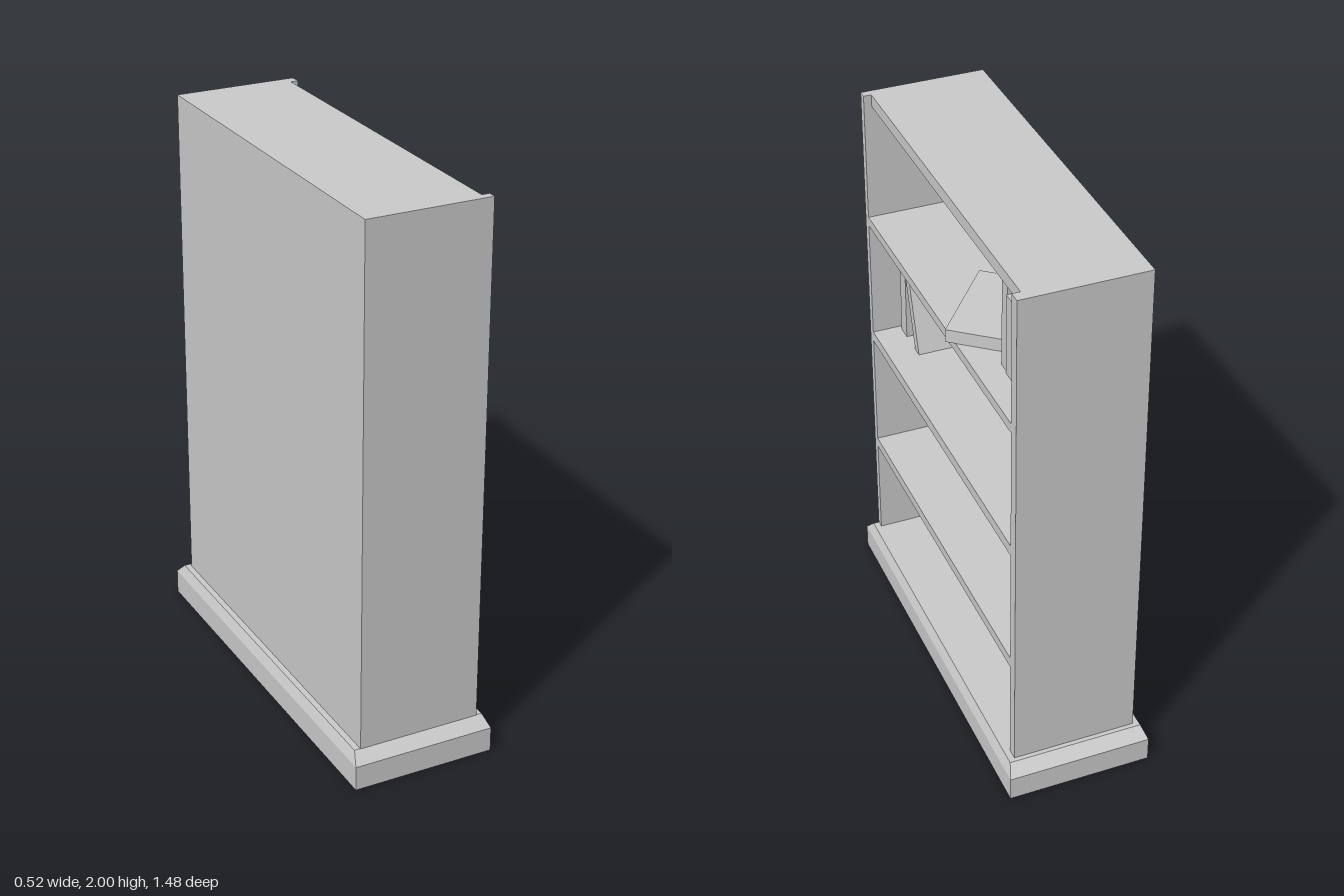
import * as THREE from 'three';

const grey = new THREE.MeshStandardMaterial({ color: 0xcccccc, flatShading: true });
const greyDouble = new THREE.MeshStandardMaterial({ color: 0xcccccc, flatShading: true, side: THREE.DoubleSide });

// Box given by its lower and upper limits on each axis
function block(name, [x0, x1], [y0, y1], [z0, z1]) {
  const mesh = new THREE.Mesh(new THREE.BoxGeometry(x1 - x0, y1 - y0, z1 - z0), grey);
  mesh.position.set((x0 + x1) / 2, (y0 + y1) / 2, (z0 + z1) / 2);
  mesh.name = name;
  return mesh;
}

// Hollow plinth, open underneath: rectangles stacked upwards, closed by a top
function plinthGeometry(rings) {
  const loops = rings.map(([x, y, z]) => [[x, y, z], [x, y, -z], [-x, y, -z], [-x, y, z]]);
  const pos = [];
  const quad = (a, b, c, d) => pos.push(...a, ...b, ...c, ...a, ...c, ...d);
  for (let r = 0; r + 1 < loops.length; r++) {
    for (let i = 0; i < 4; i++) {
      const j = (i + 1) % 4;
      quad(loops[r][i], loops[r][j], loops[r + 1][j], loops[r + 1][i]);
    }
  }
  quad(...loops[loops.length - 1]);
  const geo = new THREE.BufferGeometry();
  geo.setAttribute('position', new THREE.Float32BufferAttribute(pos, 3));
  geo.computeVertexNormals();
  return geo;
}

// Book standing on a shelf; the quad in (z, y) allows for leaning
function standingBook(name, corners, x0, x1) {
  // drawn in (-z, y) so that the extrusion runs along x after turning
  const shape = new THREE.Shape(corners.map(([z, y]) => new THREE.Vector2(-z, y)));
  const geo = new THREE.ExtrudeGeometry(shape, { depth: x1 - x0, bevelEnabled: false });
  geo.rotateY(Math.PI / 2).translate(x0, 0, 0);
  const mesh = new THREE.Mesh(geo, grey);
  mesh.name = name;
  return mesh;
}

export function createModel() {
  const model = new THREE.Group();
  model.name = 'bookcase';

  // Plinth with a sloped upper edge
  const plinth = new THREE.Mesh(
    plinthGeometry([[0.26, 0, 0.74], [0.26, 0.09, 0.74], [0.245, 0.13, 0.7]]), greyDouble);
  plinth.name = 'plinth';
  model.add(plinth);

  // Carcass, open towards +x
  const back = -0.223, front = 0.223, inner = -0.185;
  const zIn = [-0.643, 0.672];
  model.add(
    block('leftSide', [back, front], [0.13, 2], [zIn[1], 0.702]),
    block('rightSide', [back, front], [0.13, 2], [-0.684, zIn[0]]),
    block('backPanel', [back, inner], [0.13, 2], zIn),
    block('topBoard', [inner, 0.195], [1.955, 2], zIn),
  );
  for (const [y0, y1] of [[0.518, 0.557], [1.0, 1.04], [1.49, 1.525]]) {
    model.add(block('shelf', [inner, front], [y0, y1], zIn));
  }

  // Books on the top shelf
  const books = new THREE.Group();
  books.name = 'books';
  books.add(
    standingBook('thinBook', [[-0.335, 1.525], [-0.385, 1.525], [-0.385, 1.873], [-0.341, 1.873]], -0.15, 0.13),
    standingBook('thickBook', [[-0.388, 1.525], [-0.465, 1.525], [-0.465, 1.82], [-0.388, 1.82]], -0.15, 0.135),
    standingBook('leaningBook', [[-0.492, 1.525], [-0.567, 1.525], [-0.654, 1.902], [-0.583, 1.918]], -0.15, 0.135),
  );

  // Book lying askew with one corner over the shelf edge
  const lying = block('lyingBook', [-0.135, 0.135], [1.527, 1.574], [-0.185, 0.185]);
  lying.position.x = 0.03;
  lying.position.z = -0.095;
  lying.rotation.y = -0.68;
  books.add(lying);

  // Books on the next shelf down
  books.add(
    standingBook('uprightBook', [[0.652, 1.04], [0.598, 1.04], [0.598, 1.404], [0.652, 1.404]], -0.18, 0.12),
    standingBook('slantedBook', [[0.51, 1.04], [0.472, 1.04], [0.562, 1.318], [0.597, 1.307]], -0.18, 0.12),
  );
  model.add(books);
  return model;
}
